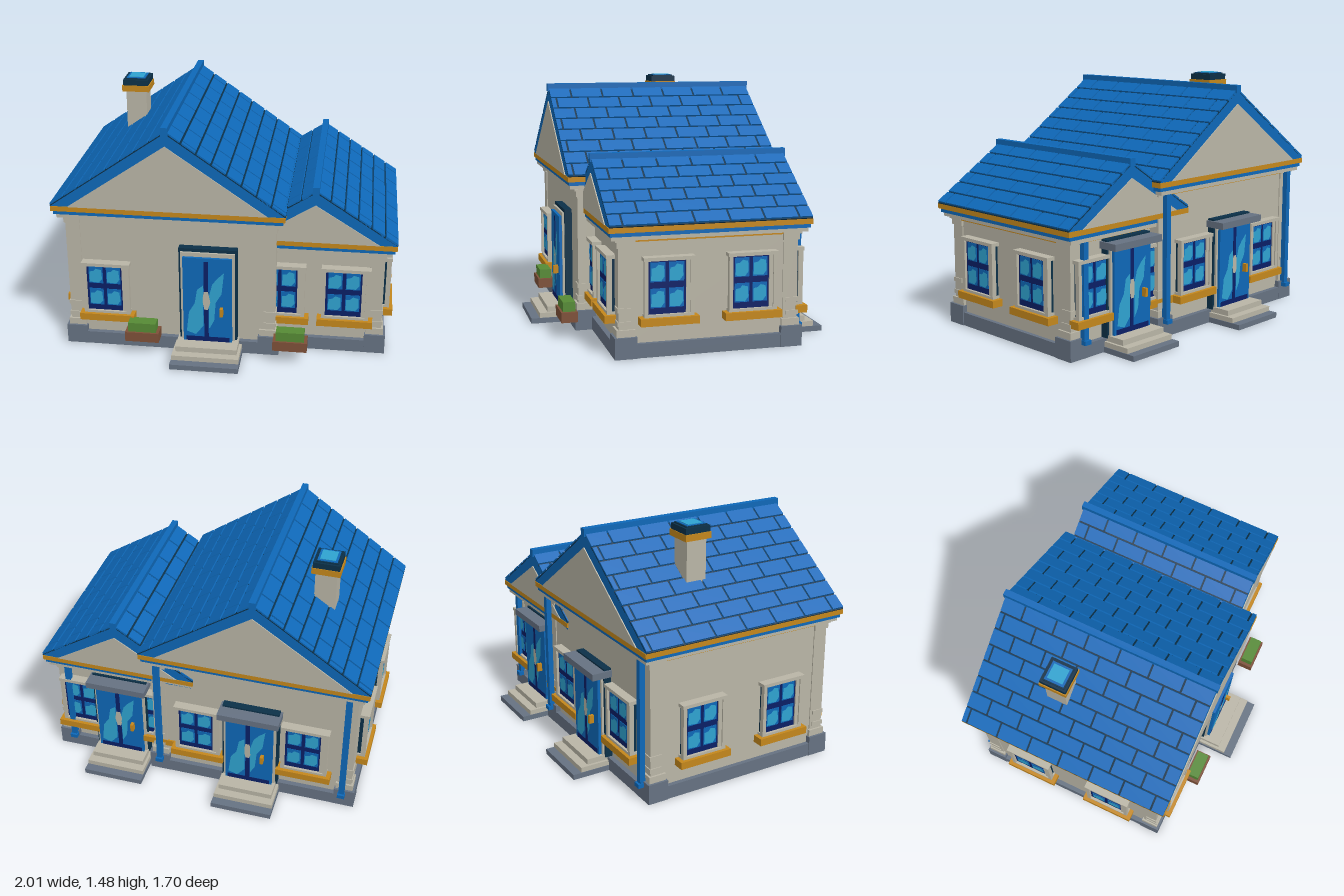
import * as THREE from 'three';
import { mergeGeometries } from 'three/addons/utils/BufferGeometryUtils.js';

const material = (name, color) => {
  const m = new THREE.MeshStandardMaterial({ color });
  m.name = name;
  return m;
};

export function createModel() {
  const house = new THREE.Group();
  house.name = 'house';
  const plaster = material('plaster', 0xb9b5a6), blue = material('roofBlue', 0x0e68b8),
    stone = material('stone', 0x667282), ochre = material('ochre', 0xc4871c),
    dark = material('darkTeal', 0x0b3048), navy = material('navy', 0x0a1f66),
    cyan = material('cyan', 0x2fa3d0), leaf = material('leafGreen', 0x568a35),
    clay = material('clay', 0x7d5038);

  // Box given by its limits on each axis
  const box = (parent, name, mat, x0, x1, y0, y1, z0, z1) => {
    const m = new THREE.Mesh(new THREE.BoxGeometry(x1 - x0, y1 - y0, z1 - z0), mat);
    m.position.set((x0 + x1) / 2, (y0 + y1) / 2, (z0 + z1) / 2);
    m.name = name;
    parent.add(m);
    return m;
  };
  const shapeOf = pts => new THREE.Shape(pts.map(p => new THREE.Vector2(...p)));
  // Flat painted shape facing +z
  const paint = (parent, name, mat, z, pts) => {
    const m = new THREE.Mesh(new THREE.ShapeGeometry(shapeOf(pts)), mat);
    m.position.z = z;
    m.name = name;
    parent.add(m);
  };
  const prism = (parent, name, mat, pts, z0, z1) => {
    const m = new THREE.Mesh(
      new THREE.ExtrudeGeometry(shapeOf(pts), { depth: z1 - z0, bevelEnabled: false }), mat);
    m.position.z = z0;
    m.name = name;
    parent.add(m);
  };
  // Group on a wall, its own +z pointing outwards
  const onWall = (name, x, z, turn) => {
    const g = new THREE.Group();
    g.name = name;
    g.position.set(x, 0, z);
    g.rotation.y = turn;
    house.add(g);
    return g;
  };

  // One wing: walls, eave bands, gables, tiled roof and ridge
  function wing(name, o) {
    const g = new THREE.Group();
    g.name = name;
    g.position.set(o.cx, 0, o.cz);
    house.add(g);
    const { hw, hz, eave, apex } = o;
    const band = (label, mat, y0, y1, w, d) => box(g, label, mat, -w, w, eave + y0, eave + y1, -d, d);
    box(g, 'walls', plaster, o.wall0 - o.cx, o.wall1 - o.cx, 0.05, eave - 0.06, -o.wallZ, o.wallZ);
    box(g, 'base', stone, o.wall0 - o.cx - 0.027, o.wall1 - o.cx + 0.025, 0, 0.08, -o.wallZ - 0.03, o.wallZ + 0.03);
    band('upperBand', ochre, -0.03, 0, hw, hz);
    band('middleBand', blue, -0.053, -0.03, hw - 0.012, hz - 0.01);
    band('lowerBand', plaster, -0.077, -0.053, hw - 0.028, hz - 0.018);
    band('thinBand', ochre, -0.09, -0.077, hw - 0.05, o.wallZ + 0.015);

    const inner = [[-hw + 0.1, eave], [hw - 0.1, eave], [0, apex - 0.075]];
    prism(g, 'gableWall', plaster, inner, -hz - 0.002, hz + 0.002);
    prism(g, 'roofSlab', blue, [[-hw, eave], [-hw + 0.1, eave], [0, apex - 0.075],
      [hw - 0.1, eave], [hw, eave], [0, apex]], -hz + 0.004, hz - 0.004);

    const rise = apex - eave, angle = Math.atan2(rise, hw), length = Math.hypot(rise, hw);
    for (const turn of [0, Math.PI]) {
      const slope = new THREE.Group();
      slope.name = 'roofSlope';
      slope.position.y = apex;
      slope.rotation.set(0, turn, -angle);
      g.add(slope);
      box(slope, 'tileJoints', dark, 0, length, 0, 0.006, -hz + 0.004, hz - 0.004);
      const tiles = [], pitch = length / o.rows, long = 0.2, edge = hz - 0.004;
      for (let r = 0; r < o.rows; r++) {
        for (let z = -edge - (r % 2 ? 0.12 : 0.02); z < edge; z += long) {
          const a = Math.max(z + 0.006, -edge), b = Math.min(z + long - 0.006, edge);
          if (b - a < 0.01) continue;
          const t = new THREE.BoxGeometry(pitch - 0.012, 0.014, b - a);
          t.translate((r + 0.5) * pitch, 0.008, (a + b) / 2);
          tiles.push(t);
        }
      }
      const mesh = new THREE.Mesh(mergeGeometries(tiles), blue);
      mesh.name = 'roofTiles';
      slope.add(mesh);
    }
    box(g, 'ridgeCap', blue, -0.019, 0.019, apex - 0.01, apex + 0.037, -hz - 0.006, hz + 0.006);
  }
  wing('mainHouse', { cx: -0.32, cz: 0, hw: 0.68, hz: 0.66, eave: 0.925, apex: 1.398,
    wall0: -0.93, wall1: 0.3, wallZ: 0.59, rows: 8 });
  wing('sideWing', { cx: 0.525, cz: -0.02, hw: 0.475, hz: 0.58, eave: 0.735, apex: 1.043,
    wall0: 0.2, wall1: 0.93, wallZ: 0.51, rows: 6 });

  // Corner pilasters: sx and sz point outwards
  function corner(x, z, sx, sz, top) {
    const g = new THREE.Group();
    g.name = 'cornerPilaster';
    g.position.set(x, 0, z);
    g.scale.set(1, 1, 1);
    house.add(g);
    const block = (label, mat, y0, y1, out, size) => {
      const cx = sx * (out - size / 2), cz = sz * (out - size / 2), h = size / 2;
      box(g, label, mat, cx - h, cx + h, y0, y1, cz - h, cz + h);
    };
    block('plinth', stone, 0, 0.12, 0.031, 0.125);
    block('plinthCap', plaster, 0.12, 0.16, 0.018, 0.105);
    block('shaft', plaster, 0.16, top, 0.006, 0.085);
    block('quoin', plaster, 0.18, 0.205, 0.012, 0.075);
    block('quoin', plaster, 0.255, 0.28, 0.012, 0.075);
    block('capital', plaster, top - 0.045, top - 0.01, 0.014, 0.095);
    block('capitalTop', plaster, top - 0.01, top, 0.024, 0.11);
  }
  for (const s of [1, -1]) {
    corner(-0.93, 0.59 * s, -1, s, 0.845);
    corner(0.3, 0.59 * s, 1, s, 0.845);
    corner(0.93, -0.02 + 0.51 * s, 1, s, 0.655);
  }

  // Windows
  function windowAt(x, z, turn) {
    const g = onWall('window', x, z, turn);
    box(g, 'backing', dark, -0.13, 0.13, 0.225, 0.545, -0.01, 0.025);
    box(g, 'glass', navy, -0.12, 0.1, 0.235, 0.54, 0, 0.034);
    box(g, 'leftFrame', plaster, -0.14, -0.118, 0.225, 0.55, 0.022, 0.05);
    box(g, 'rightFrame', plaster, 0.118, 0.14, 0.225, 0.55, 0.022, 0.05);
    box(g, 'innerFrame', plaster, 0.095, 0.118, 0.225, 0.55, 0.02, 0.042);
    box(g, 'lintel', plaster, -0.145, 0.145, 0.54, 0.56, 0, 0.055);
    box(g, 'bottomFrame', plaster, -0.14, 0.14, 0.225, 0.243, 0, 0.05);
    box(g, 'sill', ochre, -0.165, 0.165, 0.185, 0.228, 0, 0.07);
    for (const px of [-0.105, 0]) for (const py of [0.278, 0.422]) {
      box(g, 'pane', blue, px, px + 0.085, py, py + 0.108, 0.032, 0.037);
      paint(g, 'paneGlint', cyan, 0.038, [[px + 0.004, py + 0.008], [px + 0.06, py + 0.004],
        [px + 0.08, py + 0.03], [px + 0.076, py + 0.088], [px + 0.045, py + 0.096],
        [px + 0.03, py + 0.08], [px + 0.006, py + 0.076]]);
    }
  }
  const half = Math.PI / 2;
  windowAt(-0.7, 0.59, 0);
  for (const s of [1, -1]) {
    windowAt(0.525 + 0.19 * s, 0.49, 0);
    windowAt(0.93, -0.02 + 0.24 * s, half);
    windowAt(-0.93, 0.27 * s, -half);
    windowAt(-0.315 + 0.33 * s, -0.59, Math.PI);
    windowAt(0.525 + 0.25 * s, -0.53, Math.PI);
  }

  // Doors with steps
  function doorAt(x, z, turn, h, w, canopy) {
    const g = onWall('door', x, z, turn);
    box(g, 'outerFrame', dark, -0.172, 0.172, 0.08, h + 0.045, -0.01, 0.045);
    box(g, 'innerFrame', plaster, -0.16, 0.16, 0.08, h + 0.025, 0, 0.058);
    box(g, 'doorLeaf', blue, -0.145, 0.145, 0.09, h, 0, 0.075);
    box(g, 'doorFoot', navy, -0.13, 0.13, 0.095, 0.125, 0.07, 0.077);
    box(g, 'doorSeam', navy, -0.02, 0.006, 0.125, h - 0.02, 0.07, 0.077);
    const k = h / 0.645;
    const glint = (mat, pts) => paint(g, 'doorGlint', mat, 0.079, pts.map(p => [p[0], p[1] * k]));
    glint(cyan, [[-0.125, 0.16], [-0.07, 0.14], [-0.025, 0.2], [-0.025, 0.47],
      [-0.06, 0.44], [-0.075, 0.35], [-0.11, 0.29]]);
    glint(cyan, [[0.01, 0.18], [0.04, 0.24], [0.05, 0.36], [0.085, 0.42],
      [0.1, 0.56], [0.06, 0.52], [0.03, 0.48], [0.01, 0.4]]);
    glint(plaster, [[-0.018, 0.31], [0.004, 0.31], [0.018, 0.36], [0.005, 0.43], [-0.02, 0.43], [-0.03, 0.37]]);
    box(g, 'handle', ochre, 0.075, 0.094, 0.28, 0.33, 0.07, 0.105);
    box(g, 'lowStep', stone, -w, w, 0, 0.032, 0, 0.262);
    box(g, 'middleStep', plaster, -w + 0.004, w - 0.004, 0.032, 0.062, 0, 0.21);
    box(g, 'topStep', plaster, -w + 0.02, w - 0.02, 0.062, 0.095, 0, 0.16);
    if (canopy) box(g, 'canopy', stone, -0.185, 0.185, h - 0.005, h + 0.035, 0, 0.125);
  }
  doorAt(-0.088, 0.59, 0, 0.645, 0.203, false);
  doorAt(-0.315, -0.59, Math.PI, 0.595, 0.185, true);
  doorAt(0.525, -0.53, Math.PI, 0.595, 0.185, true);

  // Chimney
  const chimney = onWall('chimney', -0.637, -0.16, 0);
  box(chimney, 'shaft', plaster, -0.063, 0.063, 0.95, 1.4, -0.063, 0.063);
  box(chimney, 'collar', ochre, -0.084, 0.084, 1.392, 1.43, -0.084, 0.084);
  box(chimney, 'cap', dark, -0.078, 0.078, 1.43, 1.465, -0.08, 0.08);
  box(chimney, 'capLip', dark, -0.065, 0.065, 1.465, 1.472, -0.067, 0.067);
  box(chimney, 'capRing', blue, -0.058, 0.058, 1.47, 1.475, -0.06, 0.06);
  box(chimney, 'capCentre', cyan, -0.045, 0.045, 1.474, 1.478, -0.047, 0.047);

  // Planters
  for (const x of [-0.475, 0.405]) {
    const g = onWall('planter', x, 0.685, 0);
    box(g, 'trough', clay, -0.101, 0.101, 0.1, 0.16, -0.048, 0.048);
    box(g, 'shrub', leaf, -0.083, 0.083, 0.16, 0.218, -0.036, 0.036);
  }

  // Downspouts at the back
  for (const [x, z, top] of [[-0.885, -0.625, 0.87], [0.265, -0.625, 0.87], [0.86, -0.565, 0.68]]) {
    const g = onWall('downspout', x, z, 0);
    box(g, 'pipe', blue, -0.017, 0.017, 0.09, top, -0.016, 0.016);
    box(g, 'pipeFoot', blue, -0.022, 0.022, 0.085, 0.11, -0.03, 0.02);
  }
  return house;
}
